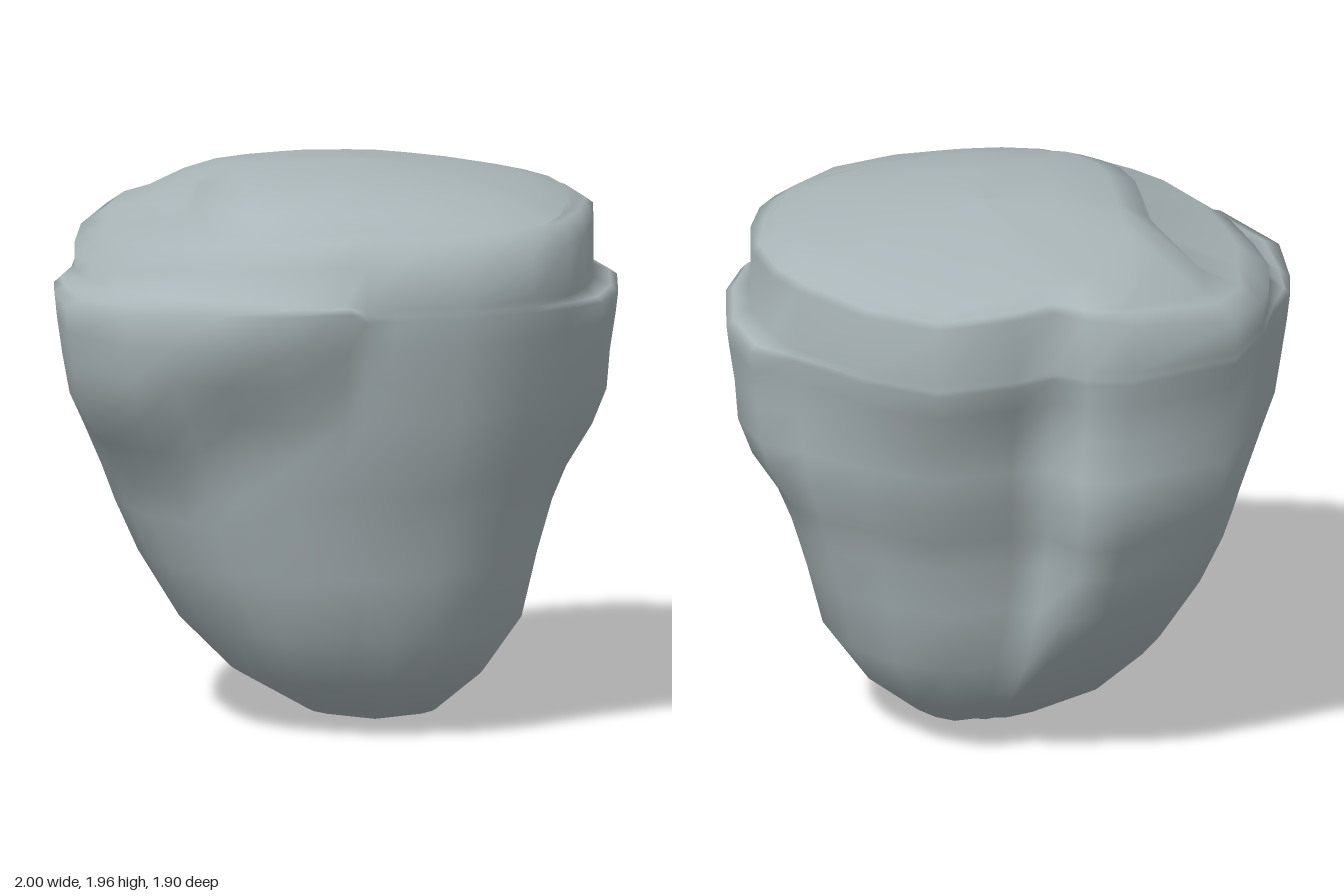
import * as THREE from 'three';

// Plan columns: upper outline x, z; then, where a shoulder bulges out,
// its x, z, its top height and the heights between which it swells
const COLUMNS = [
  [0.08, -0.89], [0.36, -0.95], [0.6, -0.78],
  [0.8, -0.48, 0.81, -0.48, 1.54, 0.9, 1.2],
  [0.87, -0.32, 0.95, -0.37, 1.54, 0.85, 1.15],
  [0.91, -0.06, 1, -0.1, 1.54, 0.85, 1.15],
  [0.88, 0.2, 0.96, 0.25, 1.54, 0.85, 1.15],
  [0.82, 0.43, 0.88, 0.46, 1.54, 0.9, 1.3],
  [0.75, 0.56, 0.76, 0.56, 1.54, 0.9, 1.3],
  [0.6, 0.74], [0.35, 0.85], [0.1, 0.88],
  [0, 0.88], [-0.08, 0.88, -0.06, 0.93, 1.6, 1.25, 1.54],
  [-0.24, 0.86, -0.29, 0.95, 1.6, 1.12, 1.5],
  [-0.45, 0.76, -0.52, 0.91, 1.6, 1.05, 1.45],
  [-0.57, 0.68, -0.69, 0.77, 1.59, 0.95, 1.35],
  [-0.68, 0.59, -0.83, 0.72, 1.58, 0.88, 1.25],
  [-0.82, 0.38, -1, 0.42, 1.56, 0.88, 1.2],
  [-0.88, 0.15, -1, 0.1, 1.56, 0.88, 1.2],
  [-0.91, -0.05, -0.98, -0.07, 1.56, 0.88, 1.2],
  [-0.88, -0.28, -0.9, -0.25, 1.56, 0.88, 1.2],
  [-0.83, -0.5], [-0.71, -0.74], [-0.33, -0.91], [-0.17, -0.89], [-0.06, -0.82],
];

// Height and extents of the tapering body: y, xMin, xMax, zMin, zMax
const LEVELS = [
  [0, 0.13, 0.13, 0.07, 0.07],
  [0.05, -0.12, 0.35, -0.18, 0.3],
  [0.19, -0.37, 0.52, -0.4, 0.48],
  [0.37, -0.55, 0.65, -0.57, 0.61],
  [0.6, -0.69, 0.71, -0.7, 0.67],
  [0.78, -0.77, 0.765, -0.78, 0.71],
  [0.9, -0.81, 0.8, -0.82, 0.75],
  [1.05, -0.84, 0.85, -0.9, 0.79],
  [1.18, -0.86, 0.87, -0.9, 0.82],
  [1.32, -0.88, 0.88, -0.9, 0.845],
  [1.45, -0.9, 0.9, -0.925, 0.87],
];

const clamp01 = (v) => Math.min(1, Math.max(0, v));

// Skin closed rows of points, ordered bottom to top
function loft(rows) {
  const n = rows[0].length;
  const index = [];
  for (let i = 0; i < rows.length - 1; i++) {
    for (let j = 0; j < n; j++) {
      const k = (j + 1) % n;
      const a = i * n + j, b = i * n + k, c = a + n, d = b + n;
      index.push(a, c, b, b, c, d);
    }
  }
  const geometry = new THREE.BufferGeometry();
  geometry.setAttribute('position', new THREE.Float32BufferAttribute(rows.flat(2), 3));
  geometry.setIndex(index);
  geometry.computeVertexNormals();
  return geometry;
}

// At the back, the left lobe is hollowed at mid height and the right lobe stands proud;
// the cleft between them fills in towards the foot
function backShift(x, z, y) {
  if (z > -0.7) return 0;
  const middle = clamp01(1.5 - Math.abs(y - 0.88) / 0.4);
  if (x > 0) return 0.12 * middle;
  if (x < -0.1) return -0.045 * middle;
  return 0.05 * middle - 0.08 * clamp01((0.8 - y) / 0.43);
}

// Tapered flanks with the shoulders swelling out
function flankRow([y, x0, x1, z0, z1]) {
  return COLUMNS.map(([x, z, sx = x, sz = z, , low = 1, high = 2]) => {
    const swell = clamp01((y - low) / (high - low));
    const halfDepth = (z1 - z0) / 2;
    const shift = backShift(x, z, y) * Math.min(1, halfDepth / 0.6);
    return [
      (x0 + x1) / 2 + (x / 0.91) * (x1 - x0) / 2 + (sx - x) * swell,
      y,
      (z0 + z1) / 2 + ((z + 0.035) / 0.915) * halfDepth + shift + (sz - z) * swell,
    ];
  });
}

// Heights of the rim crest and of the domed crown
const crestHeight = (x) => 1.81 - (x < 0 ? 0.15 : 0.01) * x * x;
const crownHeight = (x, z) => 1.96 - 0.17 * (x * x + z * z);
// 1 at the front and right side, where the rim is rounded, 0 elsewhere
const roundness = (x, z) => clamp01(Math.max(z, z > -0.4 ? -x : -x * 0.6) / 0.8);
// How far the crown reaches along a column, with one corner cut off
const crownScale = (x, z) => Math.min(
  0.9,
  x < 0 ? 0.47 / -x : 1,
  z > 0 ? 0.57 / z : 1,
  x < 0 && z > 0 ? 1.1 / (z - 1.667 * x) : 1,
);

function bodyRows() {
  const rows = LEVELS.map(flankRow);
  // Shoulder edge, then the ledge running back to the wall
  rows.push(COLUMNS.map(([x, z, sx = x, sz = z, top = 1.56]) => [sx, top - 0.015, sz]));
  rows.push(COLUMNS.map(([x, z, sx = x, sz = z, top = 1.56]) =>
    [x + (sx - x) * 0.7, top + 0.005, z + (sz - z) * 0.7]));
  rows.push(COLUMNS.map(([x, z, , , top = 1.56]) => [x, Math.min(1.605, top + 0.03), z]));
  // Rim and its rounded crest
  rows.push(COLUMNS.map(([x, z]) => {
    const r = roundness(x, z);
    return [x, crestHeight(x * (1 - 0.12 * r)) - 0.015 - 0.055 * r, z];
  }));
  rows.push(COLUMNS.map(([x, z]) => {
    const s = 0.97 - 0.09 * roundness(x, z);
    return [x * s, crestHeight(x * s) + 0.005, z * s];
  }));
  // Foot of the step up to the crown
  rows.push(COLUMNS.map(([x, z]) => {
    const s = crownScale(x, z);
    const f = Math.min(0.94 - 0.08 * roundness(x, z), s + (x < 0 && z < -0.3 ? 0.2 : 0.05));
    return [x * f, Math.min(crestHeight(x * f) + 0.01, crownHeight(x * f, z * f)), z * f];
  }));
  // Domed crown with a softened edge
  for (const k of [1, 0.82, 0.45, 0]) {
    rows.push(COLUMNS.map(([x, z]) => {
      const s = crownScale(x, z) * k;
      const px = x * s + 0.1 * (1 - k), pz = z * s - 0.1 * (1 - k);
      const drop = k === 1 ? 0.035 * roundness(x, z) : 0;
      return [px, crownHeight(px, pz) - drop, pz];
    }));
  }
  return rows;
}

export function createModel() {
  const model = new THREE.Group();
  model.name = 'boulder';
  const stone = new THREE.MeshStandardMaterial({ color: 0xaab6b9 });
  stone.name = 'grey stone';
  const body = new THREE.Mesh(loft(bodyRows()), stone);
  body.name = 'body';
  model.add(body);
  return model;
}
